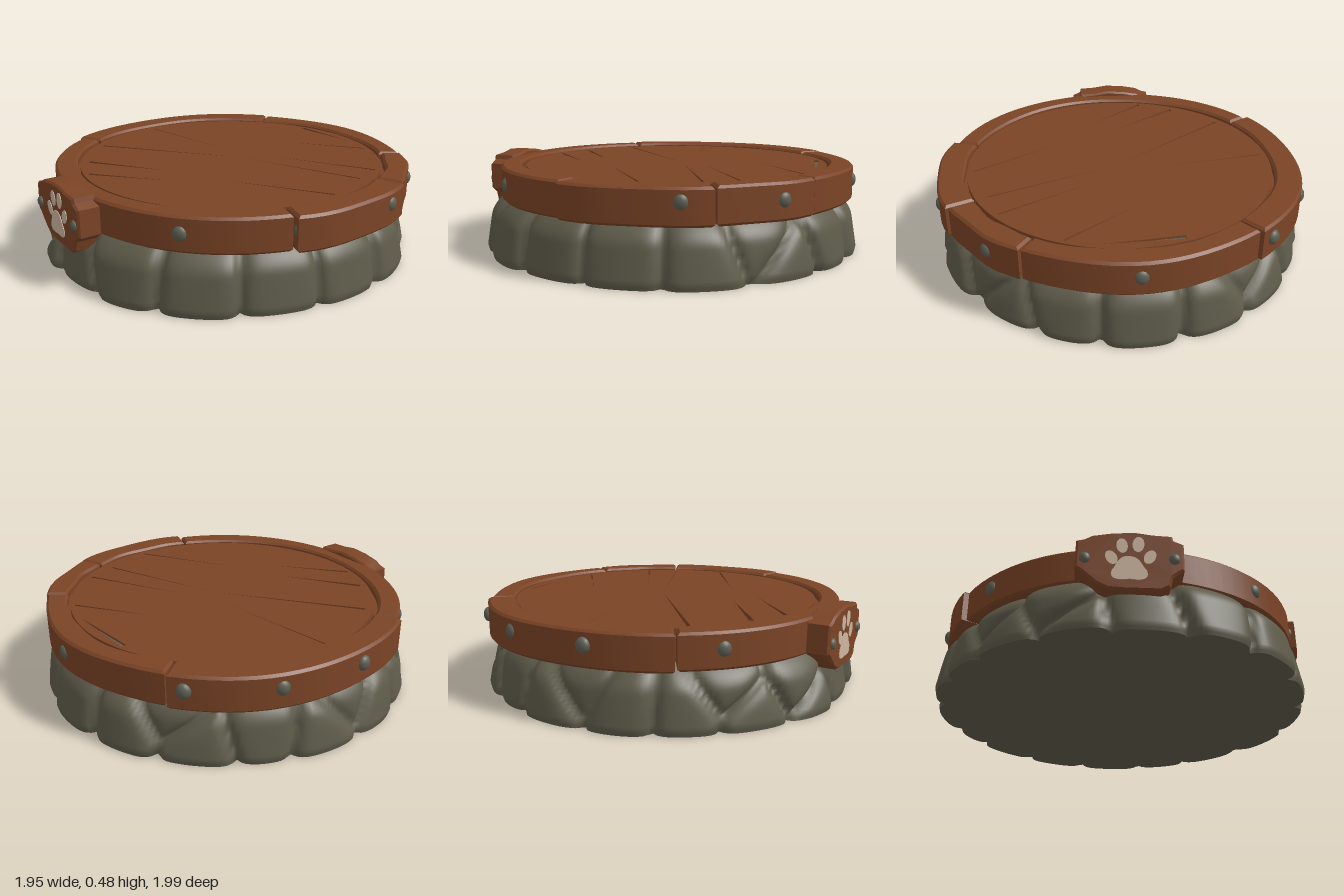
import * as THREE from 'three';
import { toCreasedNormals } from 'three/addons/utils/BufferGeometryUtils.js';

const CZ = -0.04; // z centre of the wooden top
const DEG = Math.PI / 180;

const wood = new THREE.MeshStandardMaterial({ color: 0x7b4426 });
wood.name = 'wood';
const stone = new THREE.MeshStandardMaterial({ color: 0x5f5c4b });
stone.name = 'stone';
const iron = new THREE.MeshStandardMaterial({ color: 0x5d6054 });
iron.name = 'iron';
const paint = new THREE.MeshStandardMaterial({ color: 0xcdb6a0 });
paint.name = 'palePaint';

function mesh(name, geometry, material, parent) {
  const m = new THREE.Mesh(geometry, material);
  m.name = name;
  parent.add(m);
  return m;
}

// Extrudes a plan shape (x, -z) upward from y0 to y1 with a small bevel
function slab(shape, y0, y1, bevel) {
  const g = new THREE.ExtrudeGeometry(shape, {
    depth: y1 - y0 - 2 * bevel, bevelEnabled: bevel > 0, bevelSize: bevel,
    bevelThickness: bevel, bevelOffset: -bevel, bevelSegments: 1, curveSegments: 72,
  });
  g.rotateX(-Math.PI / 2).translate(0, y0 + bevel, 0);
  return toCreasedNormals(g, 0.5);
}

// Ring of rounded stones: each point of a flared wall belongs to its nearest stone
function stoneBase() {
  // angle in degrees (0 = +x, 90 = back), height, bulge
  const stones = [
    [3, 0.12, 0.0], [25, 0.11, 0.01], [43, 0.2, -0.015], [52, 0.07, 0.0], [69, 0.14, 0.01],
    [93, 0.14, 0.025], [115, 0.12, 0.02], [128, 0.24, -0.02], [137, 0.07, 0.01], [155, 0.13, 0.0],
    [173, 0.09, 0.01], [184, 0.23, -0.015], [197, 0.12, 0.01], [214, 0.1, 0.0], [226, 0.22, -0.01],
    [234, 0.06, 0.0], [249, 0.18, 0.015], [256, 0.03, 0.015], [273, 0.08, -0.01], [295, 0.16, 0.02],
    [318, 0.13, 0.015], [340, 0.12, -0.005],
  ];
  const U = 300, V = 20, H = 0.3;
  const pos = [], index = [];
  for (let j = 0; j <= V; j++) {
    const y = (H * j) / V;
    for (let i = 0; i < U; i++) {
      const a = (i / U) * 2 * Math.PI;
      let f1 = 9, f2 = 9, bulge = 0;
      for (const [deg, sy, b] of stones) {
        let da = a - deg * DEG;
        da = Math.atan2(Math.sin(da), Math.cos(da));
        const d = Math.hypot(da * 0.95, (y - sy) * 1.1);
        if (d < f1) { f2 = f1; f1 = d; bulge = b; } else if (d < f2) f2 = d;
      }
      const seam = Math.exp(-(f2 - f1) / 0.045);
      const topRound = 0.07 * Math.pow(Math.max(0, (y - 0.18) / 0.12), 2);
      const footRound = 0.012 * Math.max(0, 1 - y / 0.03);
      const r = 0.975 - 0.17 * y + bulge * (1 - seam) - 0.05 * seam - topRound - footRound;
      pos.push(r * Math.cos(a), y, -r * Math.sin(a));
    }
  }
  for (let j = 0; j < V; j++) for (let i = 0; i < U; i++) {
    const p = j * U + i, q = j * U + ((i + 1) % U);
    index.push(p, q, q + U, p, q + U, p + U);
  }
  // flat underside
  const rim = pos.slice(0, U * 3), c0 = pos.length / 3;
  pos.push(...rim, 0, 0, 0);
  for (let i = 0; i < U; i++) index.push(c0 + U, c0 + ((i + 1) % U), c0 + i);
  const g = new THREE.BufferGeometry();
  g.setAttribute('position', new THREE.Float32BufferAttribute(pos, 3));
  g.setIndex(index);
  g.computeVertexNormals();
  return g;
}

// One curved plank of the rim, with slightly uneven edges
function rimPlank(a0, a1, outer, inner, seed) {
  const n = Math.round((a1 - a0) / 4), pts = [];
  const at = (deg, r) => pts.push(new THREE.Vector2(r * Math.cos(deg * DEG), r * Math.sin(deg * DEG)));
  for (let i = 0; i <= n; i++) {
    const t = i / n;
    at(a0 + 0.35 + (a1 - a0 - 0.7) * t, outer + 0.006 * Math.sin(t * 9 + seed));
  }
  for (let i = n; i >= 0; i--) {
    const t = i / n;
    at(a0 + 0.35 + (a1 - a0 - 0.7) * t, inner + 0.006 * Math.sin(t * 11 + seed * 2));
  }
  return new THREE.Shape(pts);
}

// Tapered split, wide at the first end and pointed at the second
function crack([x0, z0, x1, z1, w]) {
  const y0 = CZ - z0, y1 = CZ - z1;
  const len = Math.hypot(x1 - x0, y1 - y0);
  const nx = (-(y1 - y0) / len) * w / 2, ny = ((x1 - x0) / len) * w / 2;
  return [[x0 + nx, y0 + ny], [x0 - nx, y0 - ny], [x1, y1]].map(p => new THREE.Vector2(...p));
}

function rivet(name, r, parent) {
  const g = new THREE.SphereGeometry(r, 16, 8, 0, Math.PI * 2, 0, Math.PI / 2);
  g.rotateX(Math.PI / 2).scale(1, 1.1, 0.75);
  return mesh(name, g, iron, parent);
}

function ellipse(x, y, rx, ry, tilt) {
  return new THREE.Shape(new THREE.EllipseCurve(x, y, rx, ry, 0, Math.PI * 2, false, tilt).getPoints(24).slice(0, -1));
}

export function createModel() {
  const model = new THREE.Group();
  model.name = 'roundPlatform';

  mesh('stoneBase', stoneBase(), stone, model).position.z = -0.01;

  const top = new THREE.Group();
  top.name = 'woodenTop';
  top.position.z = CZ;
  model.add(top);

  // Floor below the cracks
  mesh('underFloor', new THREE.CylinderGeometry(0.84, 0.84, 0.12, 64).translate(0, 0.35, 0), wood, top);

  // Plank floor with open splits
  const cracks = [
    [-0.6, 0.43, 0.02, -0.07, 0.018], [0.73, -0.38, 0.06, -0.09, 0.012], [-0.77, 0.0, -0.15, -0.11, 0.007],
    [0.3, -0.76, -0.05, -0.49, 0.014], [0.61, -0.52, 0.12, -0.23, 0.013], [0.77, -0.09, 0.3, 0.22, 0.013],
    [-0.36, 0.63, 0.0, 0.37, 0.024], [-0.17, 0.72, 0.15, 0.44, 0.02], [-0.25, -0.77, 0.13, -0.8, 0.026],
  ];
  const floor = new THREE.Shape().absarc(0, 0, 0.803, 0, Math.PI * 2);
  floor.holes = cracks.map(c => new THREE.Path(crack(c)));
  mesh('plankFloor', slab(floor, 0.38, 0.44, 0), wood, top);
  // The widest split shows stone
  mesh('stoneSliver', slab(new THREE.Shape(crack(cracks[8])), 0.4, 0.43, 0), stone, top);

  // Rim planks: start angle, end angle, outer radius, inner radius
  [
    [-18, 26, 0.958, 0.818], [26, 58, 0.942, 0.823], [58, 130, 0.93, 0.815],
    [130, 213, 0.95, 0.812], [213, 342, 0.93, 0.82],
  ].forEach(([a0, a1, ro, ri], i) =>
    mesh('rimPlank' + (i + 1), slab(rimPlank(a0, a1, ro, ri, i * 1.7), 0.278, 0.453 + 0.002 * (i % 2), 0.012), wood, top));

  // Rivets around the rim: angle, height, radius from centre
  [
    [311, 0.37, 0.925], [344, 0.38, 0.925], [17, 0.39, 0.95], [46, 0.375, 0.935], [92, 0.375, 0.925],
    [135, 0.38, 0.945], [161, 0.385, 0.945], [188, 0.385, 0.945], [226, 0.375, 0.925],
  ].forEach(([deg, y, r], i) => {
    const p = rivet('rimRivet' + (i + 1), 0.035, top);
    p.position.set(r * Math.cos(deg * DEG), y, -r * Math.sin(deg * DEG));
    p.rotation.y = deg * DEG + Math.PI / 2;
  });

  // Front plaque with chipped outline
  const sign = new THREE.Group();
  sign.name = 'plaque';
  model.add(sign);
  const outline = [
    [-0.24, 0.43], [-0.245, 0.29], [-0.215, 0.27], [-0.195, 0.25], [-0.15, 0.21], [-0.1, 0.185], [-0.03, 0.18],
    [0.13, 0.178], [0.17, 0.2], [0.185, 0.25], [0.235, 0.285], [0.235, 0.42], [0.19, 0.44], [0.185, 0.463],
    [0.1, 0.468], [0.02, 0.48], [-0.08, 0.474], [-0.17, 0.458], [-0.2, 0.44],
  ].map(p => new THREE.Vector2(...p));
  const board = new THREE.ExtrudeGeometry(new THREE.Shape(outline), {
    depth: 0.1, bevelSize: 0.01, bevelThickness: 0.01, bevelOffset: -0.01, bevelSegments: 1,
  });
  mesh('plaqueBoard', toCreasedNormals(board.translate(0, 0, 0.855), 0.5), wood, sign);
  for (const s of [-1, 1]) {
    rivet(s < 0 ? 'plaqueRivetRight' : 'plaqueRivetLeft', 0.025, sign).position.set(s * 0.197 - 0.005, 0.337, 0.964);
  }

  // Painted paw print
  const pad = new THREE.Shape();
  pad.moveTo(-0.01, 0.348);
  pad.bezierCurveTo(0.045, 0.348, 0.045, 0.3, 0.07, 0.275);
  pad.bezierCurveTo(0.085, 0.225, 0.04, 0.225, -0.005, 0.232);
  pad.bezierCurveTo(-0.05, 0.225, -0.1, 0.225, -0.083, 0.275);
  pad.bezierCurveTo(-0.06, 0.3, -0.06, 0.348, -0.01, 0.348);
  const paw = [
    pad, ellipse(-0.085, 0.34, 0.025, 0.037, 0.45), ellipse(-0.038, 0.402, 0.025, 0.038, 0.1),
    ellipse(0.034, 0.41, 0.026, 0.04, -0.1), ellipse(0.084, 0.345, 0.025, 0.037, -0.45),
  ];
  const print = new THREE.ExtrudeGeometry(paw, { depth: 0.004, bevelEnabled: false, curveSegments: 10 });
  mesh('pawPrint', print.translate(0, 0, 0.964), paint, sign);

  return model;
}
